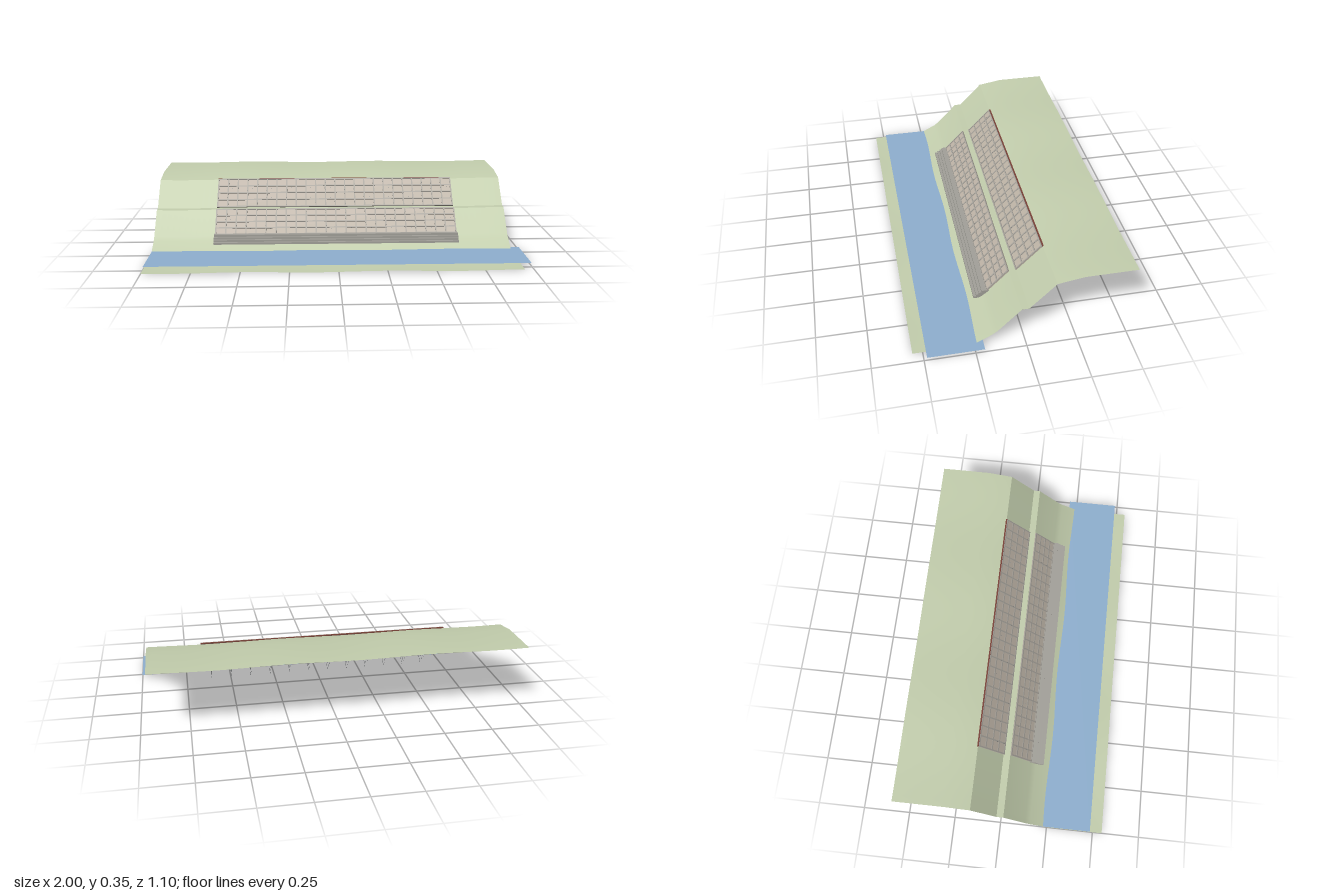
import * as THREE from 'three';
import { mergeGeometries, toCreasedNormals } from 'three/addons/utils/BufferGeometryUtils.js';

const mat = (color) => new THREE.MeshStandardMaterial({ color, roughness: 0.9, side: THREE.DoubleSide });
const soil = mat(0xc4cfae), waterBlue = mat(0x8fb0d0), stone = mat(0xbfb5a8),
  concrete = mat(0xa9a59d), rock = mat(0xa3a19a), steel = mat(0x55585a), plastic = mat(0x6f7f8c), brick = mat(0x7a4238);

const HALF = 0.668, COLS = 24;

function add(parent, name, geometry, material) {
  const mesh = new THREE.Mesh(geometry, material);
  mesh.name = name;
  parent.add(mesh);
  return mesh;
}

function box(w, h, d, x, y, z) {
  return new THREE.BoxGeometry(w, h, d).translate(x, y, z);
}

// Thin rod between two points
function rod(a, b, r) {
  const dir = b.clone().sub(a);
  const g = new THREE.CylinderGeometry(r, r, dir.length(), 6);
  g.applyQuaternion(new THREE.Quaternion().setFromUnitVectors(new THREE.Vector3(0, 1, 0), dir.normalize()));
  return g.translate(...a.clone().add(b).multiplyScalar(0.5).toArray());
}

// Cross-section of the ground, back to front, as [z, y]
const section = [[-0.55, 0.351], [-0.285, 0.351], [-0.15, 0.33], [-0.018, 0.197], [0.018, 0.196],
  [0.132, 0.079], [0.159, 0.058], [0.244, 0.014], [0.285, 0.006], [0.55, 0.006]];

function terrain() {
  const nx = 60;
  const g = new THREE.PlaneGeometry(1.95, 1, nx, section.length - 1);
  const p = g.attributes.position;
  for (let i = 0; i < p.count; i++) {
    const [z, y] = section[Math.floor(i / (nx + 1))];
    const x = p.getX(i) - 0.025;
    p.setXYZ(i, x, y + 0.0025 * Math.cos(8.6 * (x - 0.25)), z);
  }
  return toCreasedNormals(g, 0.25);
}

// Stone facing with a beam lattice, soil nails and drains, on a slope from foot to crest ([z, y])
function slopeFacing(name, foot, crest, rows, drainRows) {
  const dz = crest[0] - foot[0], dy = crest[1] - foot[1], len = Math.hypot(dz, dy);
  const group = new THREE.Group();
  group.name = name;
  // Local frame: y runs up the slope, z points out of it
  const face = new THREE.Group();
  face.name = name + 'Lattice';
  face.position.set(0, foot[1], foot[0]);
  face.rotation.x = Math.atan2(dz, dy);
  group.add(face);

  add(face, 'infillPanels', box(2 * HALF, len, 0.005, 0, len / 2, 0.0025), stone);
  const beams = [];
  for (let i = 0; i <= COLS; i++)
    beams.push(box(0.007, len, 0.005, -HALF + 0.0035 + i * (2 * HALF - 0.007) / COLS, len / 2, 0.0065));
  for (let j = 0; j <= rows; j++)
    beams.push(box(2 * HALF, 0.007, 0.005, 0, 0.0035 + j * (len - 0.007) / rows, 0.0066));
  add(face, 'latticeBeams', mergeGeometries(beams), concrete);

  // Nails run square to the slope from the lattice nodes
  const nails = [], drains = [];
  const out = new THREE.Vector3(0, -dz, dy).normalize();
  for (let i = 1; i < COLS; i += 2) {
    const x = -HALF + i * 2 * HALF / COLS;
    for (let j = 0; j < rows; j++) {
      const t = (j + 0.3) / rows;
      const start = new THREE.Vector3(x, foot[1] + t * dy, foot[0] + t * dz).addScaledVector(out, 0.01);
      nails.push(rod(start, start.clone().addScaledVector(out, -0.088), 0.0009));
    }
    for (const t of drainRows) {
      const start = new THREE.Vector3(x + HALF / COLS, foot[1] + t * dy, foot[0] + t * dz).addScaledVector(out, 0.006);
      drains.push(rod(start, start.clone().add(new THREE.Vector3(0, 0.012, -0.11)), 0.0009));
    }
  }
  add(group, 'soilNails', mergeGeometries(nails), steel);
  add(group, 'drainPipes', mergeGeometries(drains), plastic);
  return group;
}

export function createModel() {
  const model = new THREE.Group();
  model.name = 'reinforcedRiverbank';

  add(model, 'ground', terrain(), soil);

  const river = new THREE.PlaneGeometry(2, 0.28).rotateX(-Math.PI / 2).translate(0, 0.02, 0.345);
  add(model, 'water', river, waterBlue);

  model.add(slopeFacing('lowerSlope', [0.132, 0.079], [0.018, 0.196], 4, [0.22, 0.58]));
  model.add(slopeFacing('upperSlope', [-0.018, 0.197], [-0.15, 0.33], 4, [0.32, 0.66]));

  // Kerb along the crest
  add(model, 'crestKerb', box(2 * HALF, 0.005, 0.008, 0, 0.333, -0.15), brick);

  // Stepped gabion toe wall
  const steps = [];
  for (let i = 0; i < 4; i++)
    steps.push(box(2 * HALF + 0.006, 0.0105, 0.052 - i * 0.003, 0, 0.052 + i * 0.0105, 0.176 - i * 0.0125));
  add(model, 'gabionSteps', mergeGeometries(steps), rock);

  return model;
}
